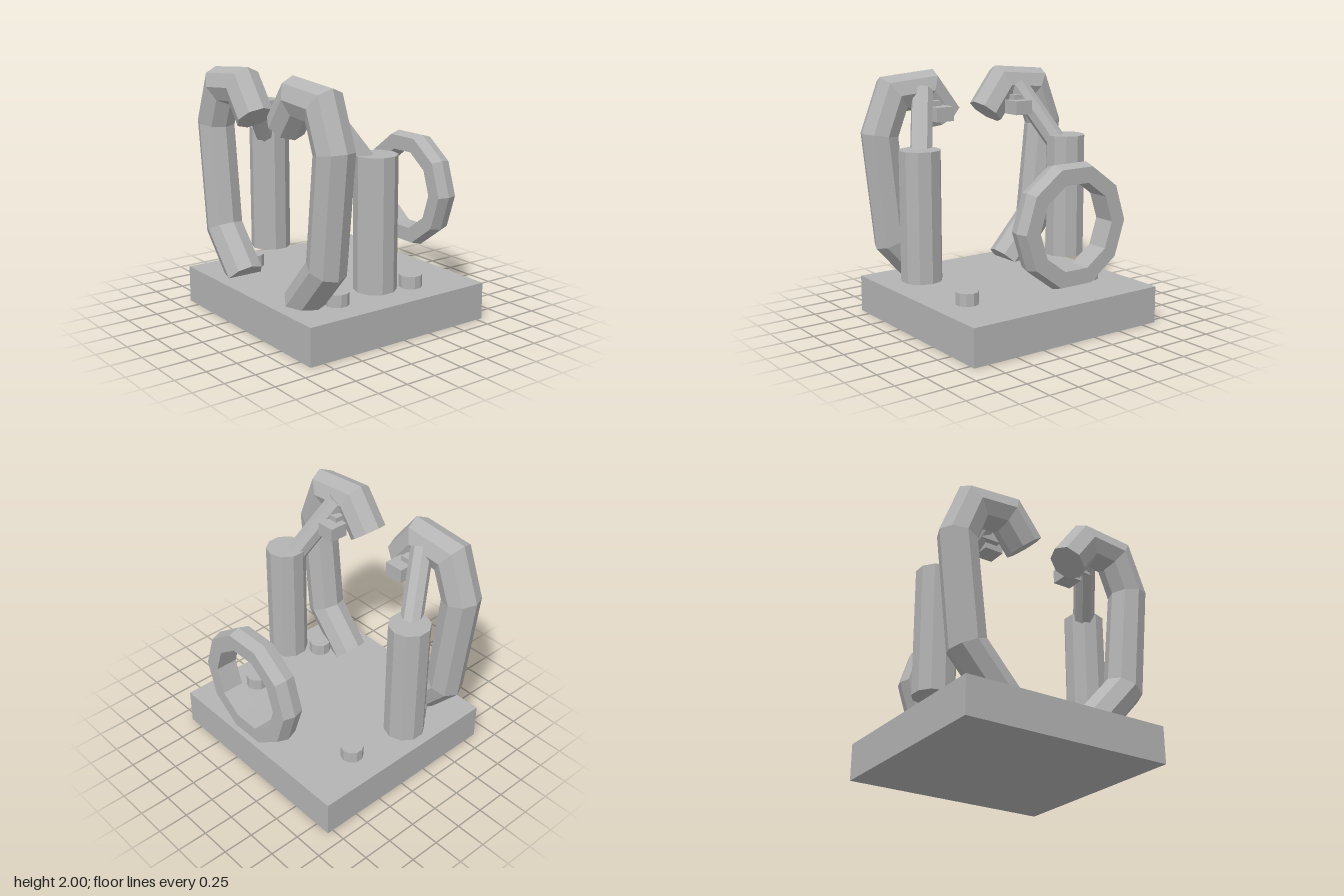
import * as THREE from 'three';

// Faceted normals
function flat(geometry) {
  const g = geometry.index ? geometry.toNonIndexed() : geometry;
  g.computeVertexNormals();
  return g;
}

// Mitred prism swept along a path lying in the xy plane at depth z
function sweep(path, z, radius, sides) {
  const pos = [], idx = [], n = path.length;
  const normals = path.slice(1).map((p, i) => {
    const d = p.clone().sub(path[i]).normalize();
    return new THREE.Vector2(-d.y, d.x);
  });
  path.forEach((p, i) => {
    const a = normals[Math.max(i - 1, 0)], b = normals[Math.min(i, n - 2)];
    const m = a.clone().add(b).divideScalar(1 + a.dot(b));
    for (let j = 0; j < sides; j++) {
      const t = (j / sides) * Math.PI * 2, c = Math.cos(t) * radius;
      pos.push(p.x + m.x * c, p.y + m.y * c, z + Math.sin(t) * radius);
    }
  });
  for (let i = 0; i < n - 1; i++) {
    for (let j = 0; j < sides; j++) {
      const k = (j + 1) % sides, r = i * sides, s = r + sides;
      idx.push(r + j, r + k, s + k, r + j, s + k, s + j);
    }
  }
  const last = (n - 1) * sides;
  for (let j = 1; j < sides - 1; j++) {
    idx.push(0, j + 1, j, last, last + j, last + j + 1);
  }
  const g = new THREE.BufferGeometry();
  g.setAttribute('position', new THREE.Float32BufferAttribute(pos, 3));
  g.setIndex(idx);
  return flat(g);
}

export function createModel() {
  const model = new THREE.Group();
  const grey = new THREE.MeshStandardMaterial({ color: 0xb4b4b4 });
  grey.name = 'plain grey';

  function add(name, geometry, x = 0, y = 0, z = 0) {
    const mesh = new THREE.Mesh(flat(geometry), grey);
    mesh.name = name;
    mesh.position.set(x, y, z);
    model.add(mesh);
    return mesh;
  }

  // Base slab
  add('base', new THREE.BoxGeometry(1.76, 0.3, 1.67), 0, 0.15, 0.035);

  // Floating ring with a ridged rim
  const profile = [[0.34, -0.09], [0.465, -0.09], [0.492, 0], [0.465, 0.09], [0.34, 0.09], [0.34, -0.09]]
    .map(([r, y]) => new THREE.Vector2(r, y));
  const ring = new THREE.LatheGeometry(profile, 10, Math.PI / 2);
  ring.rotateX(Math.PI / 2);
  add('ring', ring, 0, 0.92, -0.775);

  const armPath = [[0.41, 0.3], [0.72, 0.645], [0.815, 1.505], [0.692, 1.818], [0.38, 1.844], [0.21, 1.62]];

  for (const side of [1, -1]) {
    const label = side > 0 ? 'left' : 'right';

    // Curved arm
    const path = armPath.map(([x, y]) => new THREE.Vector2(side * x, y));
    add(label + 'Arm', sweep(path, 0.615, 0.152, 8));

    // Upright post behind the arm
    add(label + 'Post', new THREE.CylinderGeometry(0.165, 0.165, 1.03, 10), side * 0.717, 0.92, 0.165);

    // Slanted strut from post to arm
    const from = new THREE.Vector3(side * 0.673, 1.36, 0.22);
    const to = new THREE.Vector3(side * 0.47, 1.84, 0.52);
    const dir = to.clone().sub(from);
    const strut = add(label + 'Strut', new THREE.CylinderGeometry(0.088, 0.088, dir.length(), 8));
    strut.position.copy(from).add(to).multiplyScalar(0.5);
    strut.quaternion.setFromUnitVectors(new THREE.Vector3(0, 1, 0), dir.normalize());

    // Block and its bracket behind the arm
    add(label + 'Block', new THREE.BoxGeometry(0.16, 0.115, 0.16), side * 0.388, 1.667, 0.385);
    add(label + 'Bracket', new THREE.BoxGeometry(0.16, 0.11, 0.11), side * 0.445, 1.712, 0.46);

    // Pegs on the base
    for (const z of [-0.29, 0.425]) {
      add(label + (z < 0 ? 'BackPeg' : 'FrontPeg'),
        new THREE.CylinderGeometry(0.092, 0.092, 0.1, 10), side * 0.595, 0.35, z);
    }
  }
  return model;
}
